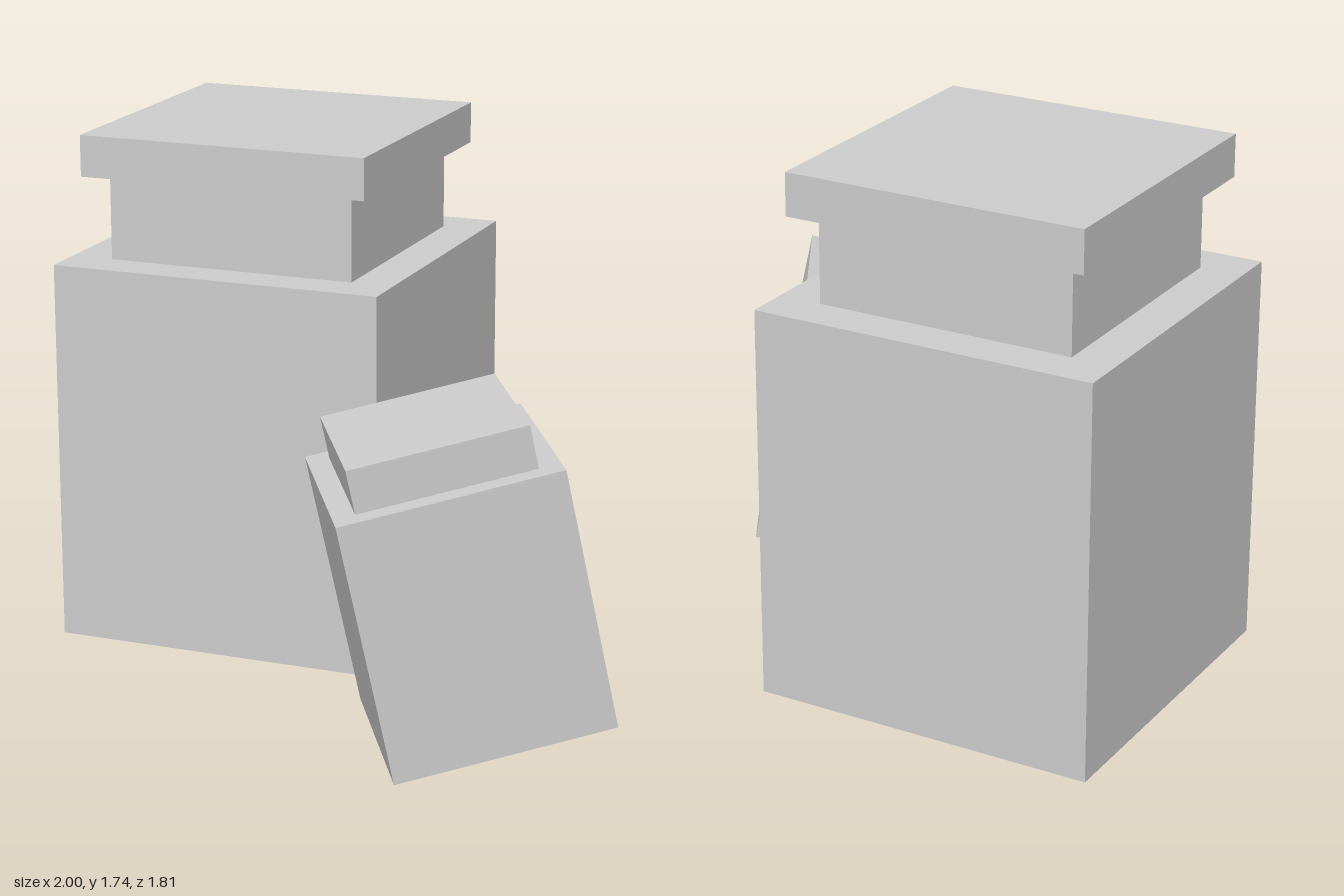
import * as THREE from 'three';

export function createModel() {
  const model = new THREE.Group();
  const grey = new THREE.MeshStandardMaterial({ color: 0xcccccc });
  grey.name = 'grey';

  // Stack square blocks upward along a group's own axis
  function makeJar(name, blocks) {
    const jar = new THREE.Group();
    jar.name = name;
    let y = 0;
    for (const [part, width, height, depth] of blocks) {
      const mesh = new THREE.Mesh(new THREE.BoxGeometry(width, height, depth), grey);
      mesh.name = part;
      mesh.position.y = y + height / 2;
      y += height;
      jar.add(mesh);
    }
    model.add(jar);
    return jar;
  }

  // Large upright jar with neck and overhanging lid
  const large = makeJar('largeJar', [
    ['largeBody', 1.11, 1.253, 1.11],
    ['largeNeck', 0.832, 0.28, 0.832],
    ['largeLid', 0.97, 0.135, 0.97],
  ]);
  large.position.set(-0.445, 0.075, -0.352);

  // Small jar, turned and leaning
  const small = makeJar('smallJar', [
    ['smallBody', 0.696, 0.837, 0.696],
    ['smallCap', 0.558, 0.138, 0.558],
  ]);
  small.position.set(0.53, 0.073, 0.349);
  small.rotation.set(0, Math.PI / 6, THREE.MathUtils.degToRad(12));

  return model;
}
